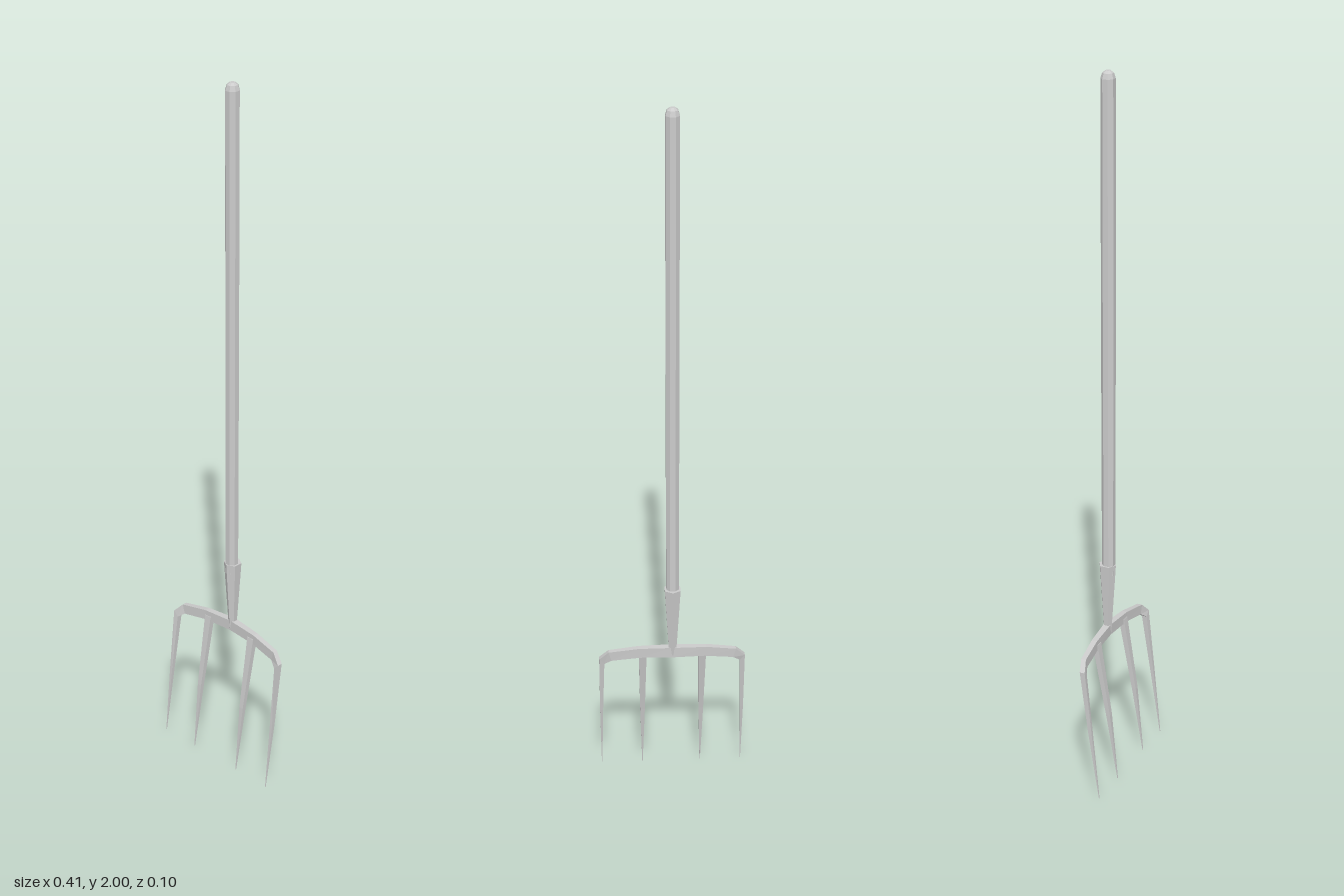
import * as THREE from 'three';

const material = new THREE.MeshStandardMaterial({ color: 0xcccccc, flatShading: true });

function addPart(group, name, geometry) {
  const mesh = new THREE.Mesh(geometry, material);
  mesh.name = name;
  group.add(mesh);
  return mesh;
}

// Closed skin through a row of equal-sized rings of [x, y, z] corners
function loft(rings) {
  const n = rings[0].length, pos = [];
  const tri = (a, b, c) => pos.push(...a, ...b, ...c);
  for (let k = 0; k < rings.length - 1; k++) {
    const A = rings[k], B = rings[k + 1];
    for (let i = 0; i < n; i++) {
      const j = (i + 1) % n;
      tri(A[i], B[i], B[j]);
      tri(A[i], B[j], A[j]);
    }
  }
  const first = rings[0], last = rings[rings.length - 1];
  for (let i = 1; i < n - 1; i++) {
    tri(first[0], first[i], first[i + 1]);
    tri(last[0], last[i + 1], last[i]);
  }
  const geometry = new THREE.BufferGeometry();
  geometry.setAttribute('position', new THREE.Float32BufferAttribute(pos, 3));
  geometry.computeVertexNormals();
  return geometry;
}

export function createModel() {
  const group = new THREE.Group();
  group.name = 'gardenFork';

  // Octagonal handle with a rounded top
  const profile = [[0, 0.59], [0.0185, 0.59], [0.0195, 1.3], [0.0195, 1.98], [0.015, 1.994], [0.007, 2], [0, 2]]
    .map(([r, y]) => new THREE.Vector2(r, y));
  const handle = addPart(group, 'handle', new THREE.LatheGeometry(profile, 8, Math.PI / 8));
  handle.position.z = -0.021;

  // Tapered socket gripping the handle
  const socket = addPart(group, 'socket', new THREE.CylinderGeometry(0.025, 0.011, 0.21, 6));
  socket.position.set(0, 0.515, -0.024);

  // Bent bar running into the two outer tines:
  // inner x, inner y, outer x, outer y, back z, front z
  const half = [
    [0, 0.403, 0, 0.434, -0.034, -0.014],
    [0.09, 0.4, 0.095, 0.429, -0.026, -0.01],
    [0.17, 0.387, 0.178, 0.414, -0.017, -0.003],
    [0.19, 0.372, 0.204, 0.387, -0.009, 0.006],
    [0.195, 0.2, 0.2035, 0.2, 0.016, 0.026],
    [0.199, 0, 0.2005, 0, 0.046, 0.0475],
  ];
  const ring = (s, [ix, iy, ox, oy, zb, zf]) =>
    [[s * ix, iy, zb], [s * ix, iy, zf], [s * ox, oy, zf], [s * ox, oy, zb]];
  const left = half.map(h => ring(1, h));
  const right = half.slice(1).reverse().map(h => ring(-1, h));
  addPart(group, 'barAndOuterTines', loft([...right, ...left]));

  // Inner tines: y, middle z, half width, half depth
  const tine = [[0.415, -0.017, 0.011, 0.008], [0.2, 0.02, 0.0065, 0.006], [0, 0.0467, 0.0008, 0.0008]];
  for (const side of [-1, 1]) {
    const rings = tine.map(([y, z, w, d]) =>
      [[-w, -d], [-w, d], [w, d], [w, -d]].map(([dx, dz]) => [side * 0.083 + dx, y, z + dz]));
    addPart(group, side > 0 ? 'leftInnerTine' : 'rightInnerTine', loft(rings));
  }
  return group;
}
